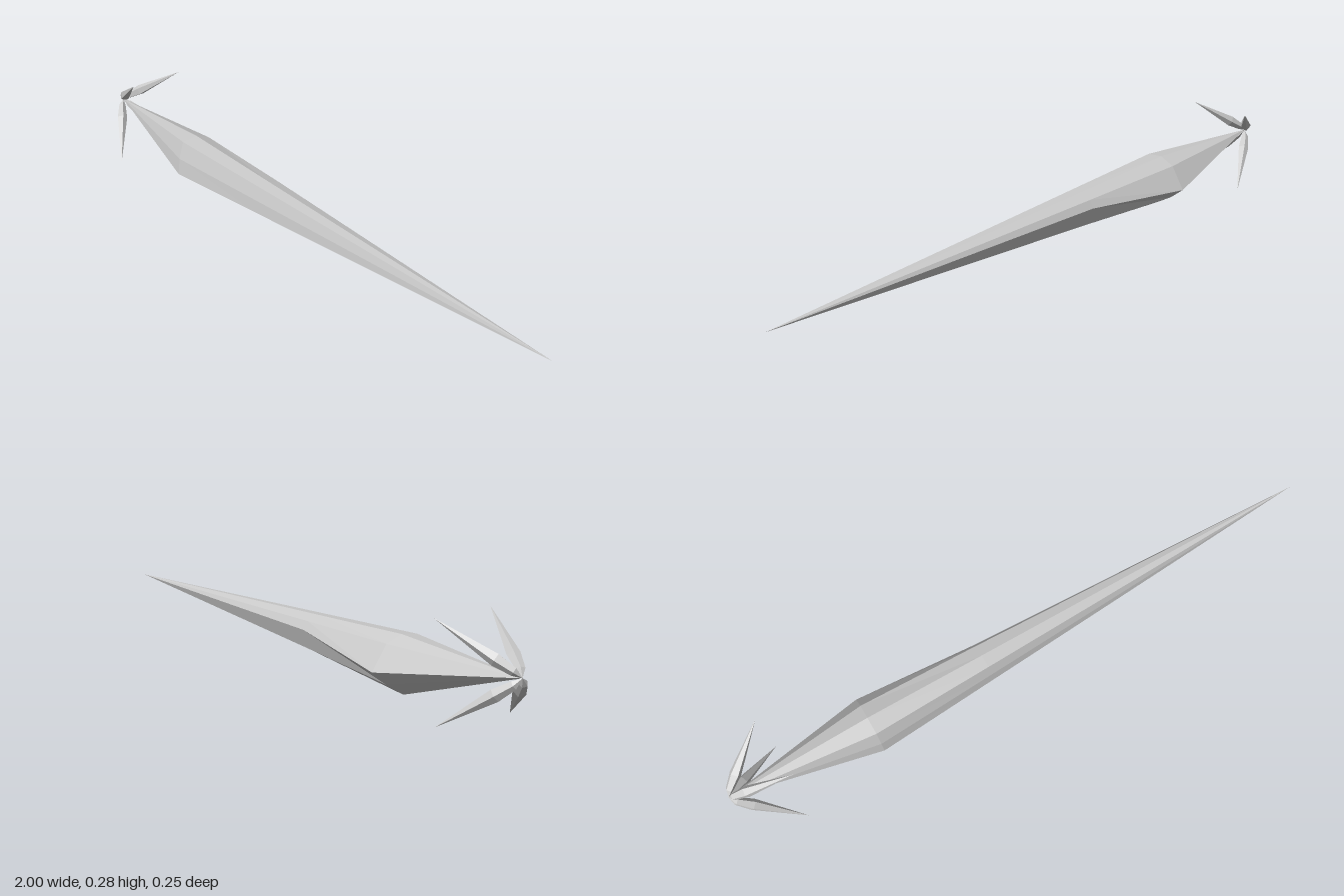
import * as THREE from 'three';

const material = new THREE.MeshStandardMaterial({ color: 0xcccccc, flatShading: true });

// Faceted skin from a start point, through rings of equal size, to an end point.
function loft(name, start, rings, end) {
  const n = rings[0].length;
  const pos = [];
  const tri = (...pts) => pts.forEach((p) => pos.push(p.x, p.y, p.z));
  for (let i = 0; i < n; i++) {
    const j = (i + 1) % n;
    tri(start, rings[0][i], rings[0][j]);
    for (let k = 0; k + 1 < rings.length; k++) {
      const a = rings[k], b = rings[k + 1];
      tri(a[i], b[i], a[j]);
      tri(a[j], b[i], b[j]);
    }
    const last = rings[rings.length - 1];
    tri(last[i], end, last[j]);
  }
  const geo = new THREE.BufferGeometry();
  geo.setAttribute('position', new THREE.Float32BufferAttribute(pos, 3));
  geo.computeVertexNormals();
  const mesh = new THREE.Mesh(geo, material);
  mesh.name = name;
  return mesh;
}

const V = (x, y, z) => new THREE.Vector3(x, y, z);

// Ring of points across a direction, ordered to face outwards in loft().
function ringAround(center, dir, radius, sides) {
  const u = V(0, 1, 0).cross(dir).normalize();
  const v = dir.clone().cross(u);
  return Array.from({ length: sides }, (_, i) => {
    const a = (-i / sides) * Math.PI * 2;
    return center.clone().addScaledVector(u, Math.cos(a) * radius).addScaledVector(v, Math.sin(a) * radius);
  });
}

export function createModel() {
  const group = new THREE.Group();
  group.name = 'barbedSpike';
  const root = V(-1, 0.15, 0);

  // Long uneven shaft: widest section and the shoulder before the taper, as [z, y]
  const section = (x, pts) => pts.map(([z, y]) => V(x, y, z));
  const widest = section(-0.54, [
    [0.01, 0.003], [0.08, 0.055], [0.073, 0.11], [0.055, 0.167],
    [0, 0.173], [-0.05, 0.152], [-0.098, 0.08], [-0.05, 0.04],
  ]);
  const shoulder = section(-0.15, [
    [0.006, 0.047], [0.058, 0.071], [0.053, 0.112], [0.04, 0.155],
    [-0.001, 0.159], [-0.041, 0.145], [-0.055, 0.12], [-0.035, 0.06],
  ]);
  group.add(loft('shaft', root, [widest, shoulder], V(1, 0.12, -0.005)));

  // Four swept-back barbs spreading from the narrow end
  const barbs = [
    ['upperFrontBarb', V(-0.8, 0.285, 0.075)],
    ['upperBackBarb', V(-0.82, 0.28, -0.127)],
    ['lowerFrontBarb', V(-0.83, 0.004, 0.127)],
    ['lowerBackBarb', V(-0.82, 0.002, -0.117)],
  ];
  for (const [name, tip] of barbs) {
    // The middle lies outside the straight line, giving the barb its hook
    const mid = root.clone().lerp(tip, 0.32);
    mid.x -= 0.006;
    const neck = root.clone().lerp(tip, 0.12);
    neck.x -= 0.008;
    const dir = tip.clone().sub(mid).normalize();
    group.add(loft(name, root, [ringAround(neck, dir, 0.012, 5), ringAround(mid, dir, 0.018, 5)], tip));
  }
  return group;
}
